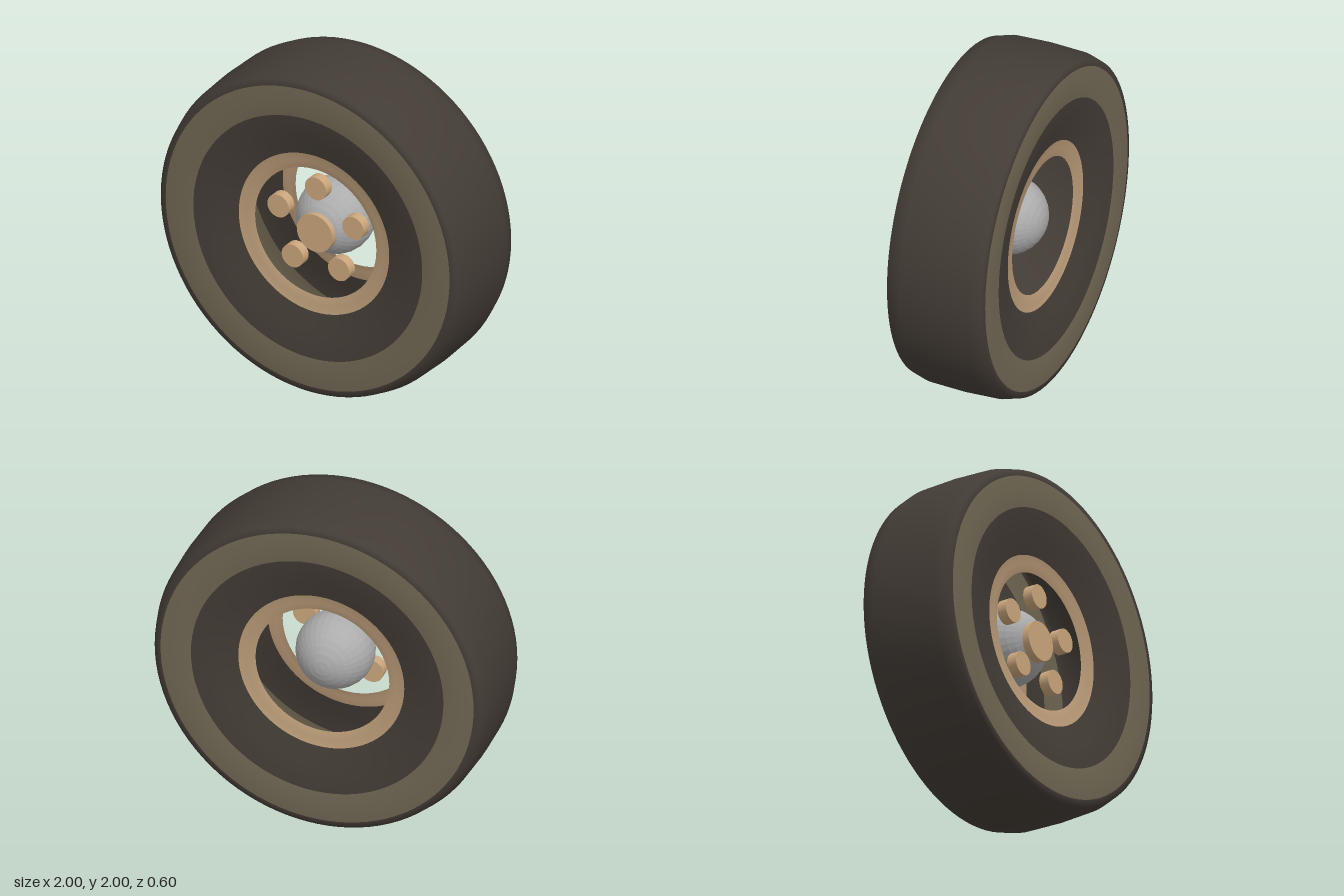
import * as THREE from 'three';

const paint = (name, color, side = THREE.FrontSide) => {
  const m = new THREE.MeshStandardMaterial({ color, side });
  m.name = name;
  return m;
};

export function createModel() {
  const rubber = paint('dark rubber', 0x433c36, THREE.DoubleSide);
  const olive = paint('olive sidewall', 0x6f6652, THREE.DoubleSide);
  const rimTan = paint('rim tan', 0xba9b78, THREE.DoubleSide);
  const boltTan = paint('bolt tan', 0xcba67c);
  const grey = paint('hub grey', 0xacacac);
  grey.flatShading = true;

  const model = new THREE.Group();
  model.name = 'wheel';
  const add = (name, geometry, material, x = 0, y = 1, z = 0) => {
    const mesh = new THREE.Mesh(geometry, material);
    mesh.name = name;
    mesh.position.set(x, y, z);
    model.add(mesh);
    return mesh;
  };

  // Hollow tyre shell: half profile (radius, z) from rim hole to tread centre, then mirrored
  const half = [
    [0.397, 0.212], [0.445, 0.228], [0.493, 0.23], // rim
    [0.6, 0.27], [0.75, 0.295],                    // inner sidewall
    [0.84, 0.298], [0.93, 0.297],                  // olive band
    [0.968, 0.288], [0.993, 0.2], [1, 0],          // shoulder and tread
  ];
  const profile = [
    ...half.map(([r, z]) => new THREE.Vector2(r, -z)),
    ...half.slice(0, -1).reverse().map(([r, z]) => new THREE.Vector2(r, z)),
  ];
  const segments = 96;
  const last = profile.length - 1;
  const shell = new THREE.LatheGeometry(profile, segments).rotateX(Math.PI / 2);

  // One coloured band of the shell, keeping the smooth normals of the whole
  const band = (name, from, to, material) => {
    const g = shell.clone();
    const source = shell.index.array;
    const index = [];
    for (let i = 0; i < segments; i++) {
      for (let j = from; j < to; j++) {
        const k = (i * last + j) * 6;
        index.push(...source.slice(k, k + 6));
      }
    }
    g.setIndex(index);
    add(name, g, material);
  };
  const sides = [['rim', 0, 2, rimTan], ['innerSidewall', 2, 4, rubber], ['sidewallBand', 4, 6, olive]];
  for (const [name, a, b, material] of sides) {
    band(name + 'Back', a, b, material);
    band(name + 'Front', last - b, last - a, material);
  }
  band('tread', 6, last - 6, rubber);

  // Hub ball with its poles on the axle
  add('hub', new THREE.SphereGeometry(0.224, 32, 16).rotateX(Math.PI / 2), grey, 0, 1.018, -0.005);

  // Round cap and ring of five bolts
  const disc = (r, depth) => new THREE.CylinderGeometry(r, r, depth, 32).rotateX(Math.PI / 2);
  add('hubCap', disc(0.116, 0.05), boltTan, 0, 1, 0.2);
  for (let i = 0; i < 5; i++) {
    const a = Math.PI / 2 + (i * Math.PI * 2) / 5;
    add('bolt', disc(0.07, 0.06), boltTan, 0.258 * Math.cos(a), 1.018 + 0.258 * Math.sin(a), 0.185);
  }
  return model;
}
